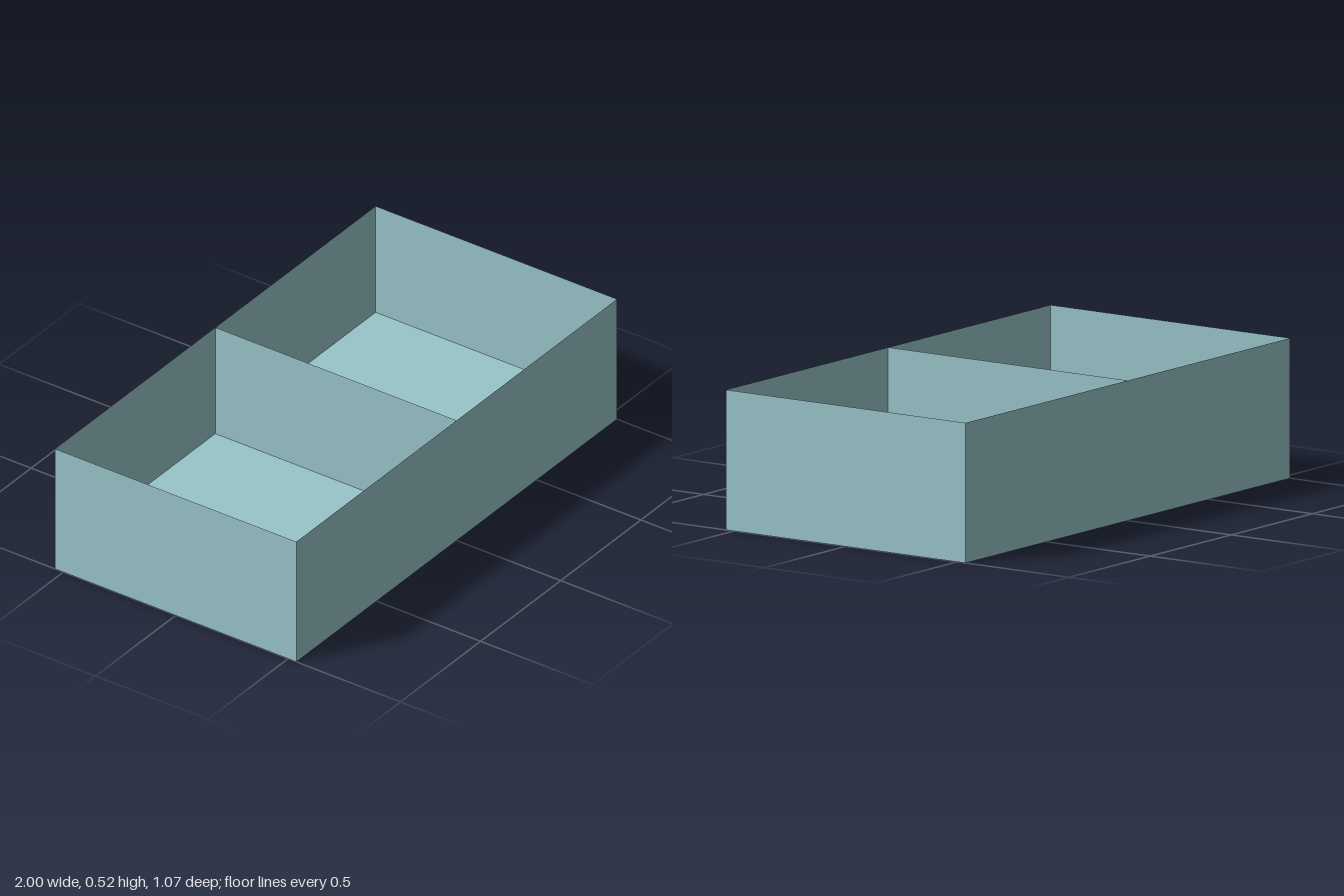
import * as THREE from 'three';

const W = 2, H = 0.517, D = 1.074; // outer size
const FLOOR = 0.06;                // height of the raised floor

export function createModel() {
  const model = new THREE.Group();
  model.name = 'dividedTray';

  const paleTeal = new THREE.MeshStandardMaterial({ color: 0x99c5ca, side: THREE.DoubleSide });
  paleTeal.name = 'paleTeal';

  // Thin sheet, turned about x or y and put in place
  function panel(name, width, height, [x, y, z], rx = 0, ry = 0) {
    const mesh = new THREE.Mesh(new THREE.PlaneGeometry(width, height), paleTeal);
    mesh.name = name;
    mesh.position.set(x, y, z);
    mesh.rotation.set(rx, ry, 0);
    model.add(mesh);
  }

  // Outer walls
  panel('frontWall', W, H, [0, H / 2, D / 2]);
  panel('backWall', W, H, [0, H / 2, -D / 2], 0, Math.PI);
  panel('leftWall', D, H, [W / 2, H / 2, 0], 0, Math.PI / 2);
  panel('rightWall', D, H, [-W / 2, H / 2, 0], 0, -Math.PI / 2);

  // Underside and raised inner floor
  panel('underside', W, D, [0, 0, 0], Math.PI / 2);
  panel('innerFloor', W, D, [0, FLOOR, 0], -Math.PI / 2);

  // Middle divider, standing on the inner floor
  panel('divider', D, H - FLOOR, [0, (H + FLOOR) / 2, 0], 0, Math.PI / 2);

  return model;
}
